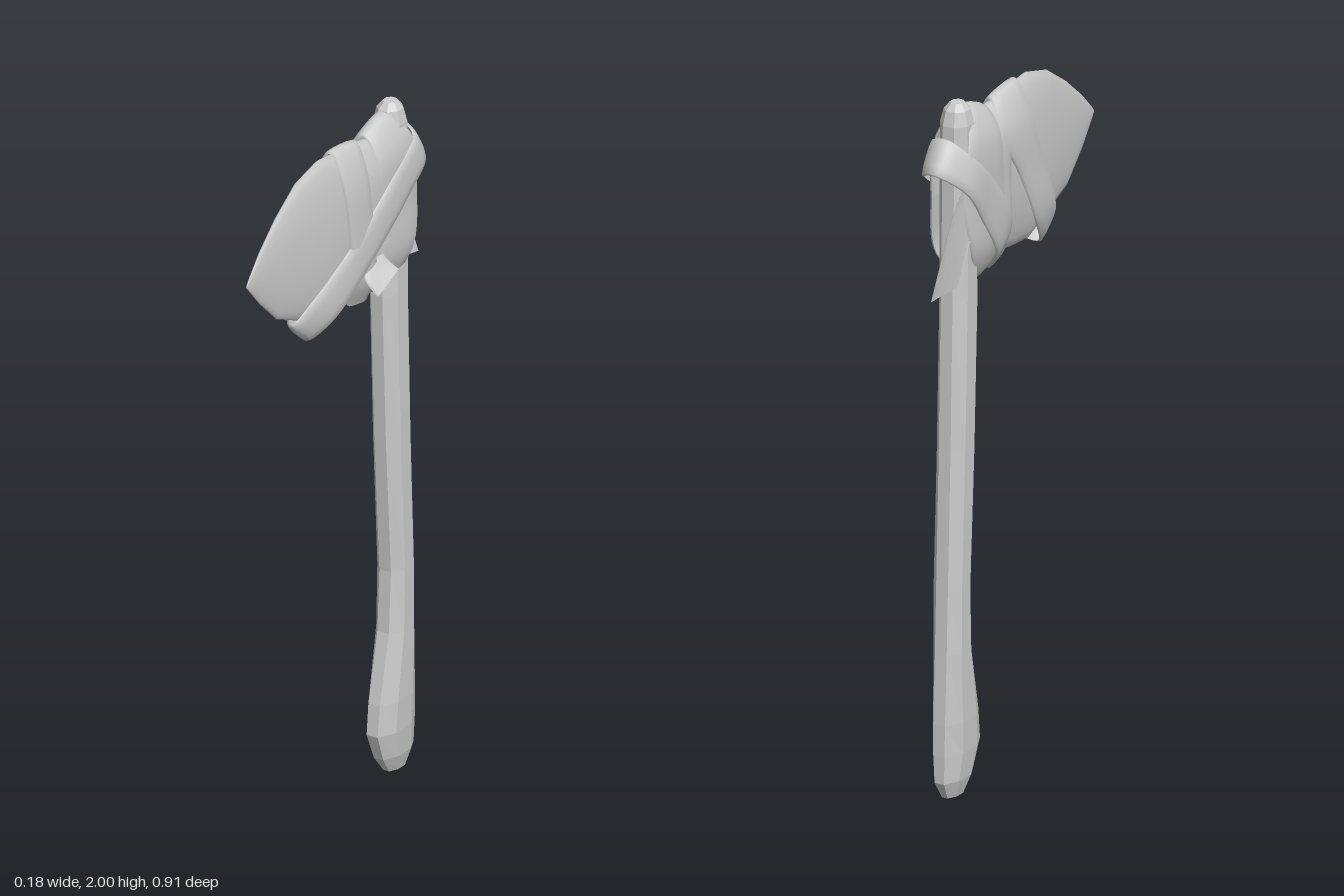
import * as THREE from 'three';

const V = (x, y, z) => new THREE.Vector3(x, y, z);

// Skin a list of equally long rows of points; 'closed' joins each row's end to its start.
function skin(name, rows, { closed = false, caps = false, flat = false, double = false } = {}) {
  const n = rows[0].length;
  const pos = rows.flat().flatMap((p) => p.toArray());
  const index = [];
  const cols = closed ? n : n - 1;
  for (let i = 0; i < rows.length - 1; i++) {
    for (let j = 0; j < cols; j++) {
      const k = (j + 1) % n;
      const a = i * n + j, b = i * n + k, c = a + n, d = b + n;
      index.push(a, b, c, b, d, c);
    }
  }
  if (caps) {
    const last = (rows.length - 1) * n;
    for (let j = 1; j < n - 1; j++) {
      index.push(0, j + 1, j, last, last + j, last + j + 1);
    }
  }
  const geo = new THREE.BufferGeometry();
  geo.setAttribute('position', new THREE.Float32BufferAttribute(pos, 3));
  geo.setIndex(index);
  geo.computeVertexNormals();
  const mesh = new THREE.Mesh(geo, new THREE.MeshStandardMaterial({
    color: 0xcccccc, flatShading: flat, side: double ? THREE.DoubleSide : THREE.FrontSide,
  }));
  mesh.name = name;
  return mesh;
}

// Cloth band between two edge curves; each section is [ax, ay, az, bx, by, bz].
function band(name, sections, { loop = false, steps = 8, puff = 0.012 } = {}) {
  const edge = (o) => new THREE.CatmullRomCurve3(sections.map((s) => V(s[o], s[o + 1], s[o + 2])), loop);
  const A = edge(0), B = edge(3);
  const count = sections.length * steps;
  const profile = [[0, 0], [0.03, 0.7], [0.25, 0.95], [0.5, 1], [0.75, 0.95], [0.97, 0.7], [1, 0]];
  const rows = [];
  for (let i = 0; i <= count; i++) {
    const t = i / count;
    const a = A.getPoint(t), b = B.getPoint(t);
    const along = A.getTangent(t).add(B.getTangent(t));
    const out = b.clone().sub(a).cross(along).normalize();
    rows.push(profile.map(([u, h]) => a.clone().lerp(b, u).addScaledVector(out, h * puff)));
  }
  return skin(name, rows, { double: true });
}

// Faceted wooden handle with a swollen foot: [y, front z, back z, half width]
function makeHandle() {
  const rings = [
    [0.0, -0.26, -0.345, 0.022], [0.05, -0.222, -0.374, 0.036], [0.13, -0.19, -0.376, 0.043],
    [0.22, -0.2, -0.375, 0.045], [0.42, -0.245, -0.366, 0.045], [0.6, -0.255, -0.36, 0.045],
    [1.0, -0.23, -0.346, 0.045], [1.44, -0.212, -0.335, 0.045], [1.75, -0.228, -0.328, 0.045],
    [1.94, -0.235, -0.326, 0.043], [1.98, -0.243, -0.316, 0.034], [2.0, -0.26, -0.3, 0.018],
  ];
  const rows = rings.map(([y, f, b, w]) => Array.from({ length: 8 }, (_, j) => {
    const a = ((j + 0.5) / 8) * Math.PI * 2;
    const k = 1 / Math.cos(Math.PI / 8);
    return V(-0.015 + Math.sin(a) * w * k, y, (f + b) / 2 + Math.cos(a) * k * (f - b) / 2);
  }));
  return skin('handle', rows, { closed: true, caps: true, flat: true });
}

// Lens-shaped stone head running forward to a point: [z, bottom y, top y, half width, centre x]
function makeBlade() {
  const rings = [
    [-0.26, 1.56, 1.88, 0.035, -0.015], [-0.15, 1.51, 1.92, 0.046, -0.012], [0.0, 1.485, 1.955, 0.045, -0.01],
    [0.085, 1.48, 1.965, 0.04, -0.01], [0.19, 1.525, 1.938, 0.03, -0.013], [0.29, 1.568, 1.873, 0.02, -0.014],
    [0.38, 1.65, 1.802, 0.011, -0.011], [0.44, 1.713, 1.747, 0.004, -0.006], [0.455, 1.728, 1.732, 0.001, -0.004],
  ];
  const n = 24;
  const rows = rings.map(([z, lo, hi, w, cx]) => Array.from({ length: n }, (_, j) => {
    const a = (j / n) * Math.PI * 2;
    return V(cx + w * Math.cos(a), (lo + hi) / 2 + (hi - lo) / 2 * Math.sin(a), z);
  }));
  return skin('stoneBlade', rows, { closed: true, caps: true });
}

export function createModel() {
  const model = new THREE.Group();
  model.name = 'stoneAxe';
  model.add(makeHandle(), makeBlade());

  // Long strap: over the blade, under it, diagonally up round the handle and back
  model.add(band('crossStrap', [
    [0.005, 1.49, -0.03, 0.005, 1.475, -0.12],
    [0.033, 1.57, -0.01, 0.037, 1.55, -0.12],
    [0.04, 1.72, 0.01, 0.042, 1.72, -0.1],
    [0.026, 1.89, 0.03, 0.03, 1.87, -0.09],
    [-0.01, 1.962, 0.03, -0.01, 1.945, -0.1],
    [-0.048, 1.88, 0.04, -0.054, 1.87, -0.13],
    [-0.054, 1.72, 0.1, -0.062, 1.71, -0.03],
    [-0.042, 1.57, 0.18, -0.052, 1.54, 0.07],
    [-0.01, 1.525, 0.222, -0.01, 1.455, 0.145],
    [0.018, 1.575, 0.165, 0.03, 1.495, 0.08],
    [0.042, 1.695, -0.02, 0.046, 1.605, -0.08],
    [0.045, 1.83, -0.22, 0.045, 1.74, -0.28],
    [0.032, 1.893, -0.318, 0.034, 1.802, -0.37],
    [-0.02, 1.908, -0.338, -0.02, 1.82, -0.4],
    [-0.07, 1.86, -0.3, -0.075, 1.76, -0.335],
    [-0.08, 1.76, -0.2, -0.078, 1.65, -0.25],
    [-0.062, 1.61, -0.08, -0.064, 1.53, -0.16],
    [-0.015, 1.5, -0.04, -0.015, 1.47, -0.13],
  ]));

  // Narrow wrap just in front of the handle
  model.add(band('innerWrap', [
    [0.032, 1.72, -0.08, 0.036, 1.72, -0.17],
    [0.025, 1.87, -0.08, 0.028, 1.86, -0.16],
    [-0.012, 1.935, -0.08, -0.012, 1.925, -0.16],
    [-0.052, 1.87, -0.08, -0.055, 1.86, -0.16],
    [-0.06, 1.72, -0.08, -0.062, 1.72, -0.17],
    [-0.05, 1.56, -0.07, -0.055, 1.55, -0.16],
    [-0.012, 1.495, -0.07, -0.012, 1.485, -0.16],
    [0.025, 1.56, -0.07, 0.03, 1.55, -0.16],
  ], { loop: true, puff: 0.01 }));

  // Wide wrap over the butt of the blade and around the handle
  model.add(band('handleWrap', [
    [0.033, 1.72, -0.13, 0.032, 1.72, -0.335],
    [0.028, 1.88, -0.14, 0.03, 1.9, -0.31],
    [-0.015, 1.94, -0.145, -0.015, 1.977, -0.24],
    [-0.06, 1.88, -0.14, -0.064, 1.9, -0.3],
    [-0.068, 1.72, -0.13, -0.066, 1.72, -0.33],
    [-0.055, 1.56, -0.115, -0.06, 1.55, -0.28],
    [-0.015, 1.495, -0.115, -0.015, 1.465, -0.22],
    [0.03, 1.56, -0.115, 0.032, 1.56, -0.31],
  ], { loop: true }));

  // Loose ends of the cloth
  model.add(band('hangingEnd', [
    [-0.075, 1.8, -0.31, -0.08, 1.74, -0.23],
    [-0.066, 1.74, -0.365, -0.076, 1.66, -0.28],
    [-0.055, 1.62, -0.415, -0.066, 1.57, -0.32],
    [-0.037, 1.475, -0.455, -0.055, 1.487, -0.34],
  ], { puff: 0.004 }));
  model.add(band('tuckedEnd', [
    [0.03, 1.6, -0.07, 0.03, 1.62, -0.15],
    [0.055, 1.565, -0.05, 0.055, 1.59, -0.155],
    [0.086, 1.522, -0.06, 0.086, 1.565, -0.165],
  ], { puff: -0.008 }));

  return model;
}
